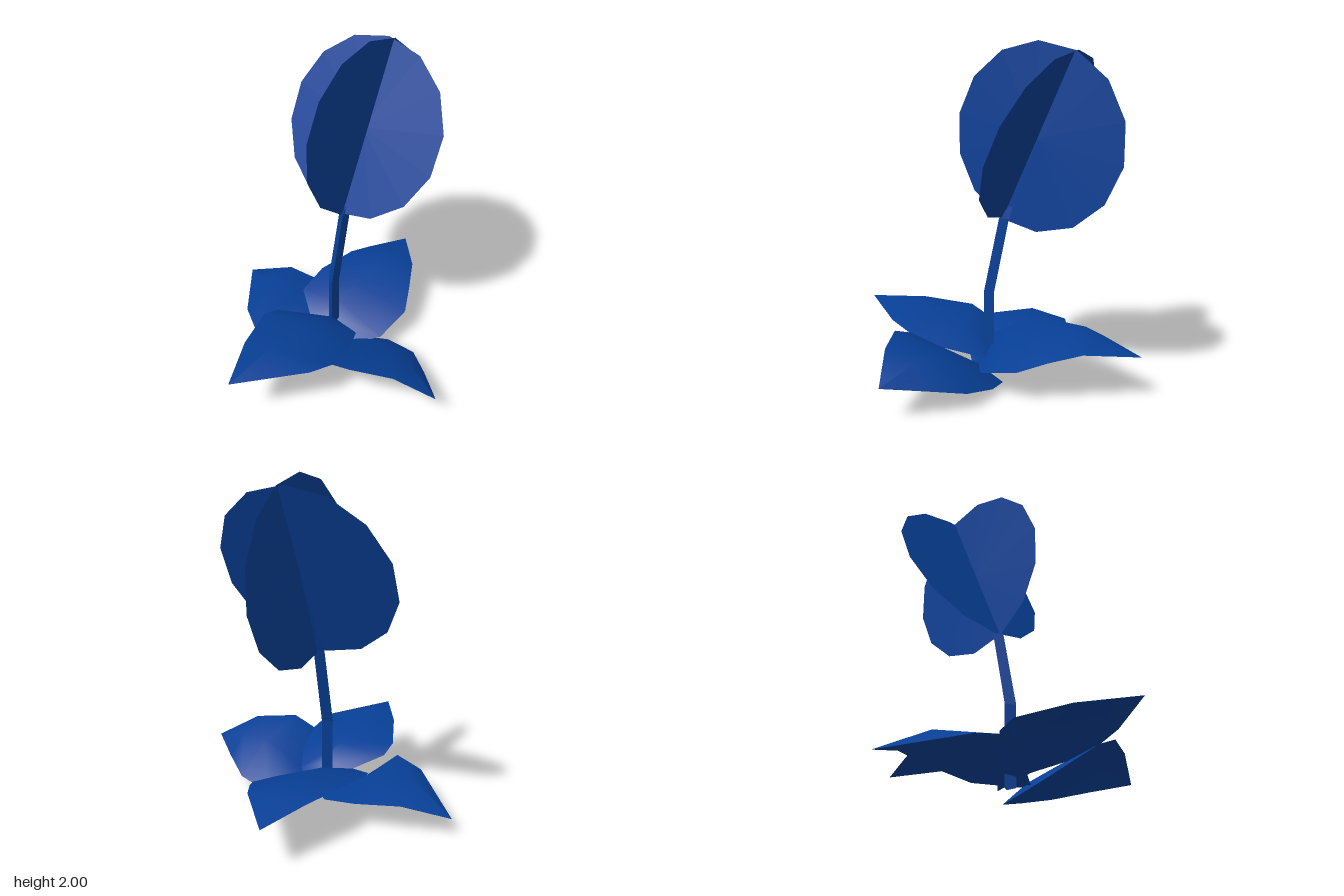
import * as THREE from 'three';

const BLUE = 0x073f96;
const smooth = new THREE.MeshStandardMaterial({ color: BLUE, side: THREE.DoubleSide });
const faceted = new THREE.MeshStandardMaterial({ color: BLUE, side: THREE.DoubleSide, flatShading: true });

// Surface through rows of points, all rows having the same count
function loft(rows) {
  const n = rows[0].length;
  const index = [];
  for (let r = 0; r < rows.length - 1; r++) {
    for (let c = 0; c < n - 1; c++) {
      const a = r * n + c, b = a + n;
      index.push(a, b, a + 1, a + 1, b, b + 1);
    }
  }
  const geometry = new THREE.BufferGeometry();
  geometry.setAttribute('position', new THREE.Float32BufferAttribute(rows.flat(2), 3));
  geometry.setIndex(index);
  geometry.computeVertexNormals();
  return geometry;
}

// Leaf: base point, rows of [edge, midrib, edge], tip point
function leaf(name, base, rows, tip) {
  const mesh = new THREE.Mesh(loft([[base, base, base], ...rows, [tip, tip, tip]]), smooth);
  mesh.name = name;
  return mesh;
}

// Triangular stem section
function stemRing(x, y, z, s) {
  const ring = [[0.018, -0.035], [0.018, 0.035], [-0.037, 0], [0.018, -0.035]];
  return ring.map(([dx, dz]) => [x + dx * s, y, z + dz * s]);
}

// Flat 14-sided disc of the flower head
function disc(name, x, tilt, turn) {
  const mesh = new THREE.Mesh(new THREE.CircleGeometry(0.537, 14, Math.PI / 2), faceted);
  mesh.name = name;
  mesh.position.set(x, 1.465, -0.305);
  mesh.rotation.set(tilt, turn, 0);
  return mesh;
}

export function createModel() {
  const group = new THREE.Group();

  // Bent stem, tapering into the flower head
  const stem = new THREE.Mesh(loft([
    stemRing(-0.028, 0.05, 0.003, 1),
    stemRing(-0.028, 0.52, 0.003, 1),
    stemRing(-0.028, 0.985, -0.1, 0.95),
    stemRing(-0.028, 1.06, -0.14, 0.4),
    stemRing(-0.028, 1.465, -0.312, 0.1),
  ]), faceted);
  stem.name = 'stem';
  group.add(stem);

  // Flower head: a disc leaning back, crossed by an upright one
  const head = new THREE.Group();
  head.name = 'flowerHead';
  head.add(disc('leaningDisc', -0.064, -0.435, 0), disc('crossDisc', -0.027, 0, Math.PI / 2));
  group.add(head);

  // Four arched leaves around the stem
  group.add(
    leaf('frontLeaf', [0, 0.06, -0.12], [
      [[-0.17, 0.2, 0.07], [-0.02, 0.24, 0.03], [0.15, 0.17, -0.01]],
      [[-0.31, 0.26, 0.22], [-0.02, 0.3, 0.18], [0.25, 0.22, 0.2]],
      [[-0.32, 0.3, 0.33], [-0.02, 0.34, 0.32], [0.28, 0.27, 0.37]],
      [[-0.2, 0.335, 0.62], [-0.01, 0.387, 0.58], [0.25, 0.32, 0.54]],
    ], [-0.025, 0.34, 0.92]),
    leaf('backLeaf', [0, 0.055, 0.12], [
      [[0.14, 0.08, 0], [-0.05, 0.2, 0], [-0.17, 0.2, 0.07]],
      [[0.265, 0.13, -0.12], [-0.05, 0.25, -0.1], [-0.33, 0.25, -0.04]],
      [[0.28, 0.19, -0.36], [-0.05, 0.3, -0.26], [-0.345, 0.295, -0.25]],
      [[0.2, 0.25, -0.51], [-0.07, 0.345, -0.55], [-0.3, 0.31, -0.51]],
      [[0.1, 0.3, -0.68], [-0.1, 0.32, -0.7], [-0.25, 0.3, -0.64]],
    ], [-0.14, 0.26, -0.93]),
    leaf('leftLeaf', [0, 0.005, 0.02], [
      [[0.05, 0.09, 0.22], [0.1, 0.1, 0.01], [0.06, 0, -0.14]],
      [[0.28, 0.28, 0.38], [0.3, 0.22, 0.03], [0.27, 0.05, -0.2]],
      [[0.42, 0.335, 0.385], [0.45, 0.27, 0.05], [0.49, 0.1, -0.17]],
      [[0.65, 0.325, 0.27], [0.63, 0.28, 0.07], [0.67, 0.15, -0.03]],
    ], [0.867, 0.2, 0.14]),
    leaf('rightLeaf', [0.12, 0.07, 0.03], [
      [[-0.12, 0.1, -0.2], [-0.1, 0.14, 0.03], [-0.18, 0.08, 0.27]],
      [[-0.35, 0.16, -0.27], [-0.32, 0.21, 0.03], [-0.32, 0.19, 0.41]],
      [[-0.61, 0.185, -0.22], [-0.585, 0.25, 0.02], [-0.53, 0.185, 0.29]],
    ], [-0.867, 0.11, -0.085]),
  );
  return group;
}
